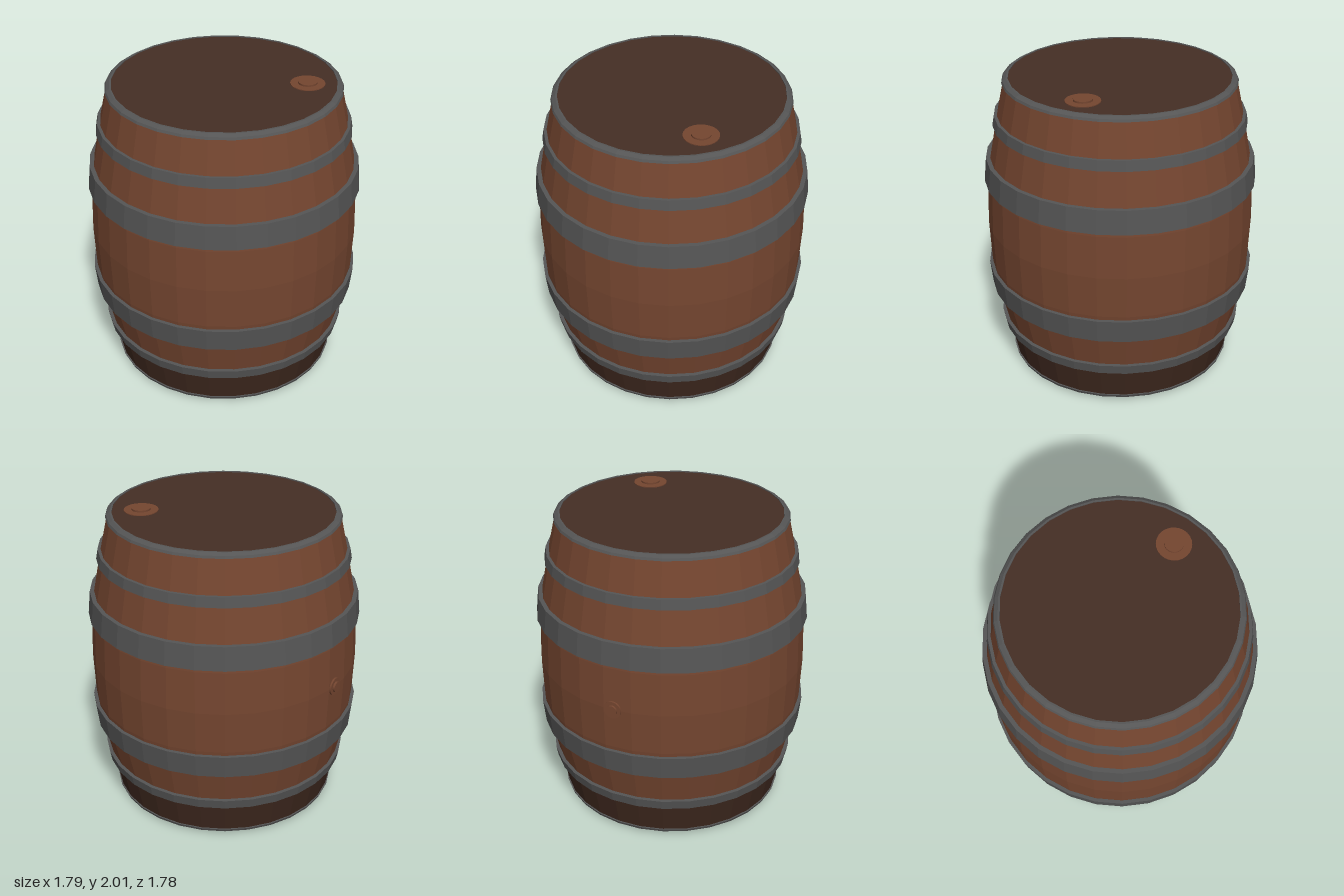
import * as THREE from 'three';

const SIDES = 30;

const paint = (name, color) => {
  const m = new THREE.MeshStandardMaterial({ color });
  m.name = name;
  return m;
};

// faceted copy of a geometry
function faceted(geometry) {
  const g = geometry.toNonIndexed();
  g.computeVertexNormals();
  return g;
}

// outward-facing ring from [radius, y] pairs listed bottom to top
function turned(profile) {
  const pts = profile.map(([r, y]) => new THREE.Vector2(r, y));
  return faceted(new THREE.LatheGeometry(pts, SIDES));
}

export function createModel() {
  const group = new THREE.Group();
  const oak = paint('oak brown', 0x754630);
  const darkOak = paint('dark oak', 0x3e281e);
  const headOak = paint('head brown', 0x452e25);
  const iron = paint('iron grey', 0x555555);

  const add = (name, geometry, material, parent = group) => {
    const mesh = new THREE.Mesh(geometry, material);
    mesh.name = name;
    parent.add(mesh);
    return mesh;
  };

  // bulging staves, darker below the lowest hoop
  add('staves', turned([
    [0.79, 0.28], [0.85, 0.55], [0.872, 0.72], [0.882, 1], [0.872, 1.28], [0.85, 1.45], [0.797, 1.72], [0.74, 1.975],
  ]), oak);
  add('lowerStaves', turned([[0.74, 0.025], [0.79, 0.28]]), darkOak);

  // iron hoops, mirrored about the middle
  const hoop = (name, y0, r0, y1, r1) =>
    add(name, turned([[r0 - 0.06, y0], [r0, y0], [r1, y1], [r1 - 0.06, y1]]), iron);
  hoop('upperWideHoop', 1.305, 0.892, 1.46, 0.876);
  hoop('lowerWideHoop', 0.54, 0.876, 0.695, 0.892);
  hoop('upperNarrowHoop', 1.685, 0.822, 1.75, 0.81);
  hoop('lowerNarrowHoop', 0.25, 0.81, 0.315, 0.822);

  // chamfered rims
  add('topRim', turned([[0.72, 1.965], [0.752, 1.965], [0.745, 1.98], [0.722, 1.994], [0.71, 1.994], [0.71, 1.985]]), iron);
  add('bottomRim', turned([[0.71, 0.01], [0.71, 0], [0.722, 0], [0.745, 0.016], [0.752, 0.035], [0.72, 0.035]]), iron);

  // heads closing both ends
  const head = add('topHead', new THREE.CircleGeometry(0.725, SIDES), headOak);
  head.rotation.x = -Math.PI / 2;
  head.position.y = 1.989;
  const base = add('bottomHead', new THREE.CircleGeometry(0.725, SIDES), darkOak);
  base.rotation.x = Math.PI / 2;
  base.position.y = 0.004;

  // stoppers: a flange with a raised plug
  function stopper(name, flangeRadius, plugRadius, flangeHeight, plugHeight) {
    const g = new THREE.Group();
    g.name = name;
    const parts = [['flange', flangeRadius, flangeHeight], ['plug', plugRadius, plugHeight]];
    for (const [part, r, h] of parts) {
      const geo = new THREE.CylinderGeometry(r, r, h, 24);
      geo.translate(0, h / 2, 0);
      add(name + part, geo, oak, g);
    }
    group.add(g);
    return g;
  }
  stopper('topStopper', 0.11, 0.06, 0.014, 0.025).position.set(0.41, 1.98, -0.325);
  const side = stopper('sideStopper', 0.058, 0.035, 0.024, 0.037);
  side.position.set(-0.863, 1, -0.03);
  side.rotation.z = Math.PI / 2;

  return group;
}
